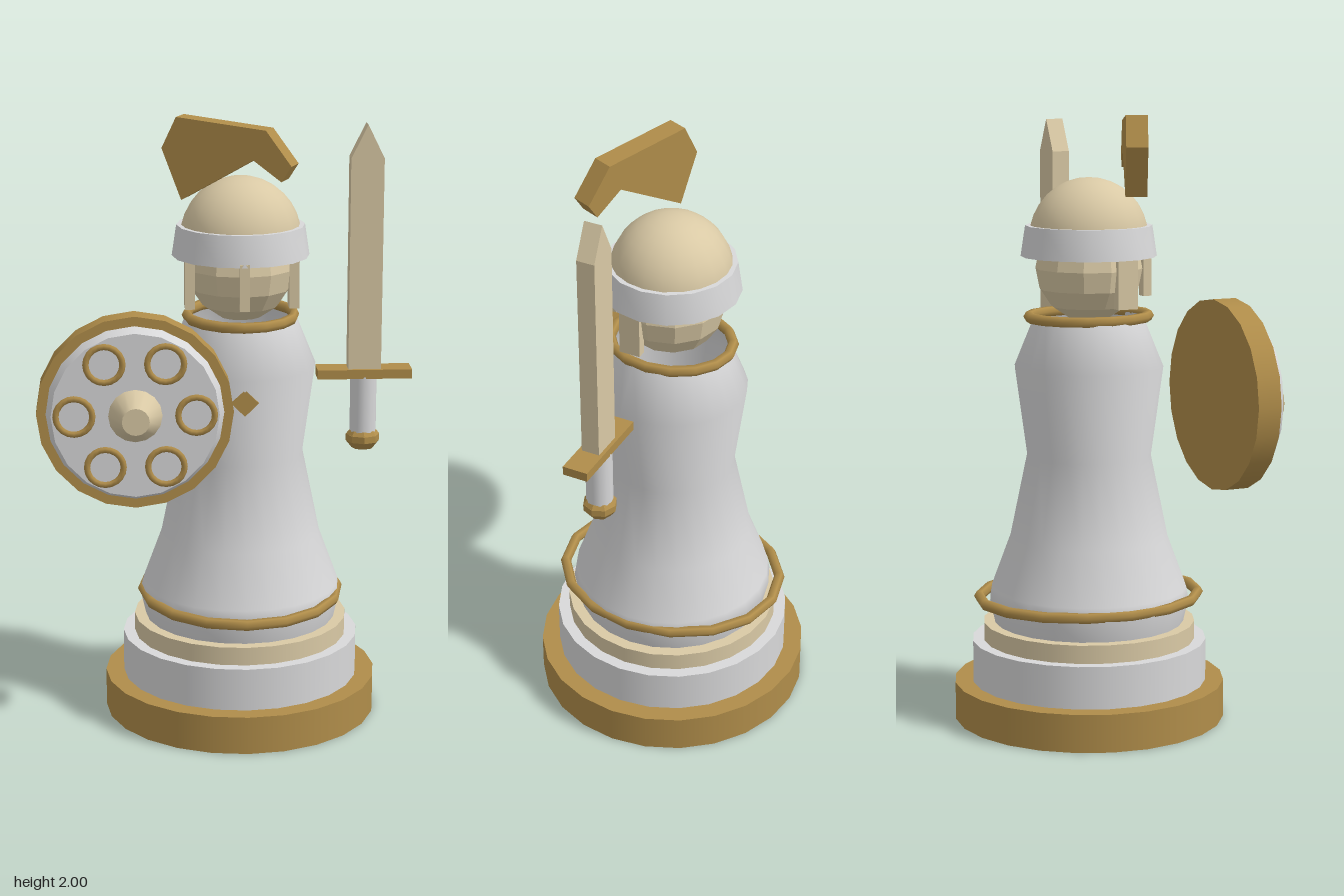
import * as THREE from 'three';
import { toCreasedNormals } from 'three/addons/utils/BufferGeometryUtils.js';

export function createModel() {
  const model = new THREE.Group();
  model.name = 'knightChessPiece';

  const mat = (name, color, extra = {}) => {
    const m = new THREE.MeshStandardMaterial({ color, ...extra });
    m.name = name;
    return m;
  };
  const gold = mat('gold', 0xb08d4a);
  const cream = mat('cream', 0xd9c9a5);
  const silver = mat('silver', 0xd8d8d9, { side: THREE.DoubleSide });

  const add = (parent, name, geometry, material, x = 0, y = 0, z = 0) => {
    const mesh = new THREE.Mesh(geometry, material);
    mesh.name = name;
    mesh.position.set(x, y, z);
    parent.add(mesh);
    return mesh;
  };
  const flat = (geometry) => {
    const g = geometry.toNonIndexed();
    g.computeVertexNormals();
    return g;
  };
  const lathe = (points, segments) =>
    new THREE.LatheGeometry(points.map(([r, y]) => new THREE.Vector2(r, y)), segments);
  const extrude = (points, depth) =>
    new THREE.ExtrudeGeometry(
      new THREE.Shape(points.map(([x, y]) => new THREE.Vector2(x, y))),
      { depth, bevelEnabled: false });

  // Figure: everything turned around the main axis
  const figure = new THREE.Group();
  figure.name = 'figure';
  figure.position.set(0.05, 0, -0.005);
  model.add(figure);

  // Stepped base
  const tiers = [
    ['baseFoot', 0.45, 0, 0.125, gold],
    ['baseMiddle', 0.39, 0.125, 0.265, silver],
    ['baseTop', 0.352, 0.265, 0.325, cream],
  ];
  for (const [name, r, y0, y1, m] of tiers) {
    add(figure, name, new THREE.CylinderGeometry(r, r, y1 - y0, 24), m, 0, (y0 + y1) / 2, 0);
  }

  // Robe-like body, open at the neck
  add(figure, 'body', lathe([
    [0.315, 0.325], [0.332, 0.4], [0.325, 0.44], [0.262, 0.61],
    [0.205, 0.885], [0.245, 1.18], [0.18, 1.34],
  ], 24), silver);

  // Oval trim rings
  for (const [name, r, y] of [['hemRing', 0.372, 0.41], ['collarRing', 0.2, 1.343]]) {
    const g = new THREE.TorusGeometry(r, 0.018, 6, 16).rotateX(Math.PI / 2).scale(0.875, 1, 1);
    add(figure, name, g, gold, 0, y, 0);
  }

  // Chest diamond
  add(figure, 'chestDiamond', new THREE.BoxGeometry(0.062, 0.062, 0.04), gold, 0, 1.108, 0.22)
    .rotation.z = Math.PI / 4;

  // Head and helmet
  add(figure, 'head', flat(new THREE.SphereGeometry(0.175, 12, 8)), cream, 0, 1.5, 0);
  add(figure, 'helmetDome',
    new THREE.SphereGeometry(0.195, 20, 8, 0, Math.PI * 2, 0, Math.PI / 2), cream, 0, 1.6, 0);
  add(figure, 'helmetBand', toCreasedNormals(lathe([
    [0.19, 1.54], [0.222, 1.54], [0.207, 1.64], [0.188, 1.64], [0.19, 1.54],
  ], 16), 0.6), silver);
  add(figure, 'noseGuard', new THREE.BoxGeometry(0.032, 0.15, 0.03), cream, 0, 1.475, 0.205);
  for (const side of [-1, 1]) {
    add(figure, side < 0 ? 'rightCheekGuard' : 'leftCheekGuard',
      new THREE.BoxGeometry(0.032, 0.17, 0.07), cream, side * 0.167, 1.465, 0.055);
  }

  // Plume: slab turned about the vertical axis
  const turn = Math.atan(0.43);
  const plume = add(model, 'plume', extrude([
    [-0.205, 1.9], [-0.145, 1.74], [0.075, 1.878], [0.16, 1.815],
    [0.19, 1.865], [0.113, 1.972], [-0.16, 2.0],
  ].map(([x, y]) => [(x + 0.205) / Math.cos(turn), y]), 0.07).translate(0, 0, -0.07), gold,
  -0.205, 0, 0.085);
  plume.rotation.y = -turn;

  // Sword
  const sword = new THREE.Group();
  sword.name = 'sword';
  sword.position.set(0.447, 0, 0.049);
  model.add(sword);
  add(sword, 'blade', extrude([
    [-0.053, 1.17], [0.053, 1.17], [0.053, 1.86], [0, 1.967], [-0.053, 1.86],
  ], 0.06), cream, 0, 0, -0.03);
  add(sword, 'crossGuard', new THREE.BoxGeometry(0.306, 0.03, 0.084), gold, 0, 1.16, 0);
  add(sword, 'grip', new THREE.CylinderGeometry(0.043, 0.043, 0.19, 12), silver, 0, 1.055, 0);
  add(sword, 'pommel', flat(new THREE.CylinderGeometry(0.043, 0.055, 0.015, 8)), gold, 0, 0.958, 0);
  add(sword, 'pommelMiddle', flat(new THREE.CylinderGeometry(0.055, 0.055, 0.022, 8)), gold, 0, 0.94, 0);
  add(sword, 'pommelEnd', flat(new THREE.CylinderGeometry(0.055, 0.036, 0.024, 8)), gold, 0, 0.917, 0);

  // Round shield facing forward
  const shield = new THREE.Group();
  shield.name = 'shield';
  shield.position.set(-0.3, 1.113, 0);
  model.add(shield);
  const disc = (name, rBack, rFront, z0, z1, segments, m) =>
    add(shield, name, new THREE.CylinderGeometry(rFront, rBack, z1 - z0, segments)
      .rotateX(Math.PI / 2), m, 0, 0, (z0 + z1) / 2);
  disc('shieldRim', 0.308, 0.308, 0.27, 0.35, 20, gold);
  disc('shieldFace', 0.278, 0.262, 0.35, 0.383, 20, silver);
  disc('shieldBoss', 0.086, 0.043, 0.38, 0.456, 16, cream);
  for (let i = 0; i < 6; i++) {
    const a = (i * Math.PI) / 3;
    add(shield, 'shieldRing', new THREE.TorusGeometry(0.057, 0.011, 6, 20), gold,
      0.19 * Math.cos(a), 0.19 * Math.sin(a), 0.381);
  }

  return model;
}
